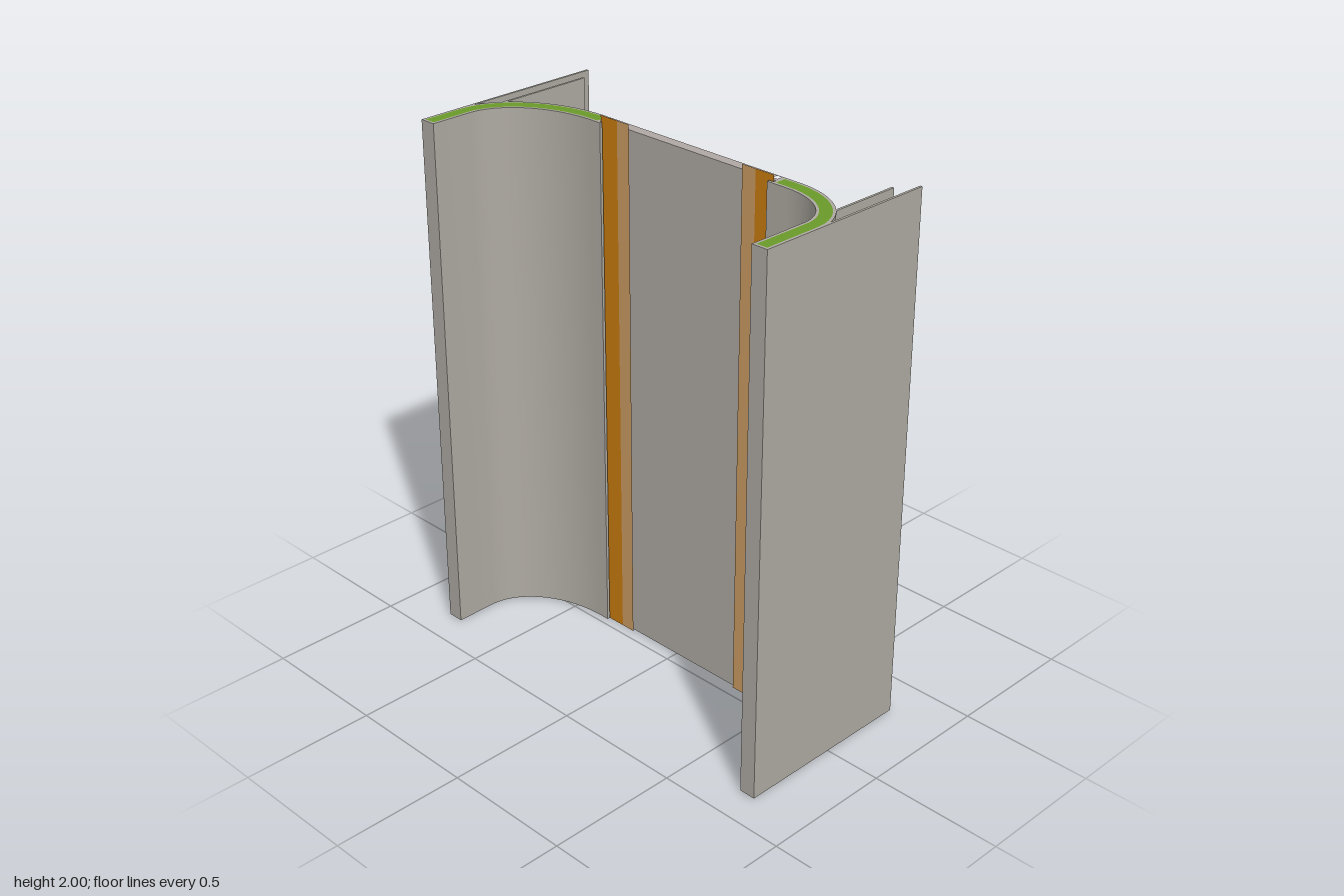
import * as THREE from 'three';
import { toCreasedNormals } from 'three/addons/utils/BufferGeometryUtils.js';

const BOTTOM = 0.005, TOP = 1.98, HEIGHT = TOP - BOTTOM;
const BACK = -0.085, FRONT = 0.377, SKIN = 0.01;

const grey = new THREE.MeshStandardMaterial({ name: 'grey skin', color: 0xaeaaa2 });
const edge = new THREE.MeshStandardMaterial({ name: 'panel edge', color: 0xb0a8a4 });
const green = new THREE.MeshStandardMaterial({ name: 'green core', color: 0x6b9a2a });
const orange = new THREE.MeshStandardMaterial({ name: 'orange tape', color: 0xc97b0e, side: THREE.DoubleSide });
const paleOrange = new THREE.MeshStandardMaterial({ name: 'pale orange tape', color: 0xca9a60, side: THREE.DoubleSide });

// Plan points are (x, z); the shape plane is (x, -z) so the extrusion stands upright.
const plan = (points) => points.map(([x, z]) => new THREE.Vector2(x, -z));

function upright(shape, materials, name) {
  let geo = new THREE.ExtrudeGeometry(shape, { depth: HEIGHT, bevelEnabled: false });
  geo = toCreasedNormals(geo.rotateX(-Math.PI / 2).translate(0, BOTTOM, 0), 0.5);
  const mesh = new THREE.Mesh(geo, materials);
  mesh.name = name;
  return mesh;
}

function block(name, x0, x1, z0, z1) {
  const mesh = new THREE.Mesh(new THREE.BoxGeometry(x1 - x0, HEIGHT, z1 - z0), grey);
  mesh.position.set((x0 + x1) / 2, BOTTOM + HEIGHT / 2, (z0 + z1) / 2);
  mesh.name = name;
  return mesh;
}

// Plan outline of a curved wing, shrunk evenly by inset.
function wingOutline({ s, cx, cz, reach, end }, inset) {
  const points = [[s * (end + inset), BACK + inset]];
  const N = 28;
  const arc = (a, b, t) => [s * (cx + a * Math.sin(t)), cz - b * Math.cos(t)];
  const a = reach - cx, b = cz - BACK, thick = 0.062;
  for (let i = 0; i <= N; i++) points.push(arc(a - inset, b - inset, (i / N) * Math.PI / 2));
  points.push([s * (reach - inset), FRONT - inset], [s * (reach - thick + inset), FRONT - inset]);
  for (let i = N; i >= 0; i--) points.push(arc(a - thick + inset, b - thick + inset, (i / N) * Math.PI / 2));
  points.push([s * (end + inset), BACK + thick - inset]);
  return plan(points);
}

function wing(name, spec) {
  const group = new THREE.Group();
  group.name = name;
  const { s, reach, end, outerFin, innerFin, lip } = spec;
  const skin = new THREE.Shape(wingOutline(spec, 0));
  skin.holes.push(new THREE.Path(wingOutline(spec, SKIN)));
  group.add(upright(skin, grey, 'wingSkin'));
  group.add(upright(new THREE.Shape(wingOutline(spec, SKIN)), green, 'wingCore'));
  // Thin fins reaching backwards, and the lip that overlaps the centre panel
  const side = (n, a, b, z0, z1) => block(n, Math.min(s * a, s * b), Math.max(s * a, s * b), z0, z1);
  group.add(side('outerFin', reach - 0.009, reach, outerFin, spec.cz));
  group.add(side('innerFin', reach - 0.064, reach - 0.055, innerFin, spec.finEnd));
  group.add(side('lip', lip, end + 0.005, -0.034, -0.023));
  return group;
}

export function createModel() {
  const model = new THREE.Group();
  model.name = 'curvedWallSection';

  model.add(wing('rightWing', {
    s: -1, cx: 0.38, cz: 0.22, reach: 0.79, end: 0.355, lip: 0.342,
    outerFin: -0.38, innerFin: -0.31, finEnd: 0.065,
  }));
  model.add(wing('leftWing', {
    s: 1, cx: 0.5, cz: 0.15, reach: 0.787, end: 0.435, lip: 0.417,
    outerFin: -0.33, innerFin: -0.26, finEnd: 0.02,
  }));

  // Centre panel with a square channel near each edge
  const rect = (x0, x1, z0, z1) => plan([[x0, z0], [x1, z0], [x1, z1], [x0, z1]]);
  const panel = new THREE.Shape(rect(-0.355, 0.435, BACK, -0.045));
  for (const x of [-0.343, 0.418]) panel.holes.push(new THREE.Path(rect(x - 0.01, x + 0.01, -0.08, -0.06)));
  model.add(upright(panel, [edge, grey], 'centrePanel'));

  // Flat tape strips over the joints, standing slightly proud of the top
  const tapes = [
    ['rightTape', -0.355, -0.277, orange], ['rightTapeMargin', -0.277, -0.22, paleOrange],
    ['leftTape', 0.353, 0.43, orange], ['leftTapeMargin', 0.295, 0.353, paleOrange],
  ];
  for (const [name, x0, x1, material] of tapes) {
    const tape = new THREE.Mesh(new THREE.PlaneGeometry(x1 - x0, 2), material);
    tape.position.set((x0 + x1) / 2, 1, -0.04);
    tape.name = name;
    model.add(tape);
  }
  return model;
}
